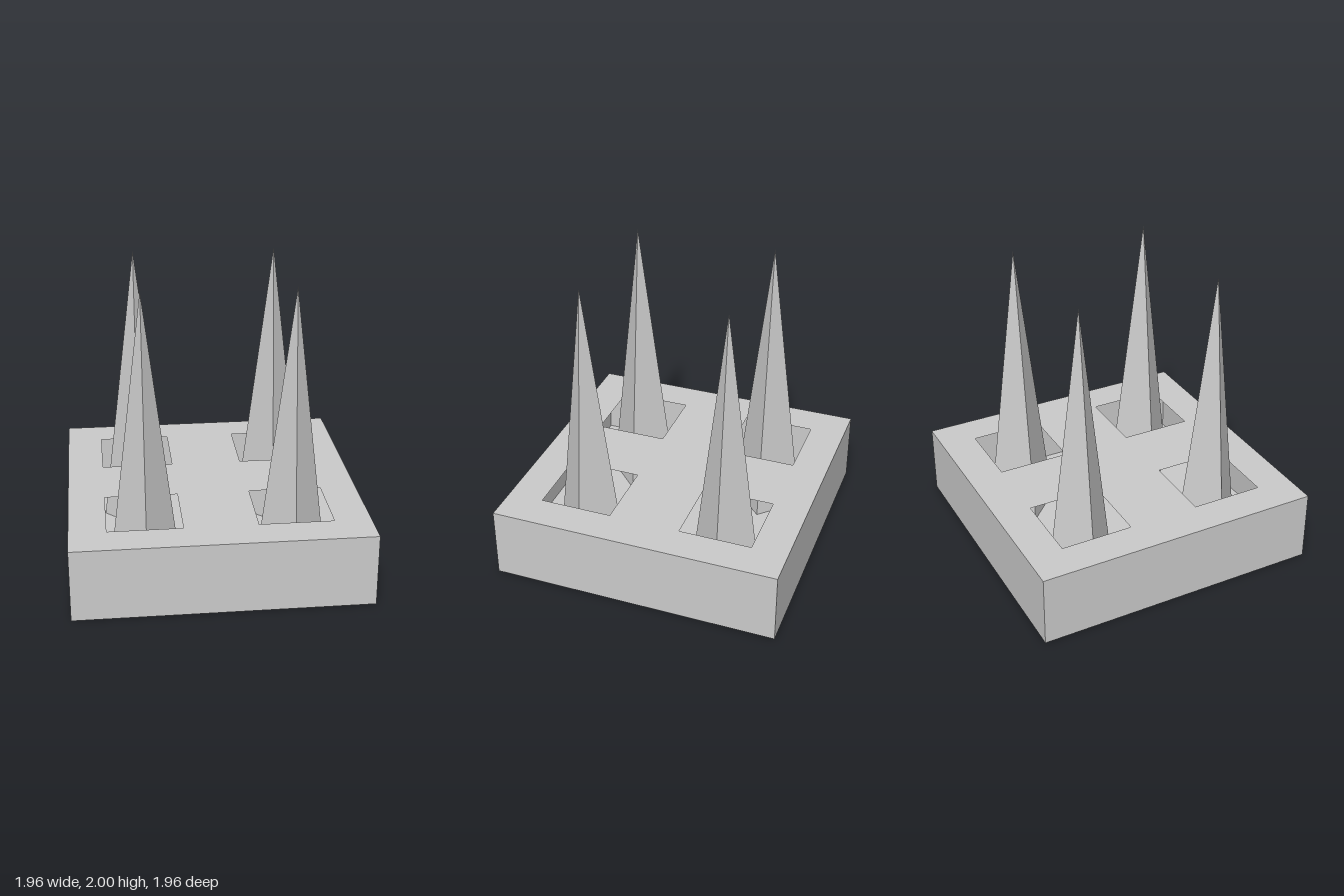
import * as THREE from 'three';

const HALF = 0.98, TOP = 0.49, HOLE = 0.246, PITCH = 0.49;

export function createModel() {
  const group = new THREE.Group();
  const material = new THREE.MeshStandardMaterial({
    color: 0xcccccc, flatShading: true, side: THREE.DoubleSide,
  });
  const add = (name, geometry, x = 0, y = 0, z = 0) => {
    const mesh = new THREE.Mesh(geometry, material);
    mesh.name = name;
    mesh.position.set(x, y, z);
    group.add(mesh);
  };
  const square = (Type, x, z, h) => new Type([
    new THREE.Vector2(x - h, z - h), new THREE.Vector2(x + h, z - h),
    new THREE.Vector2(x + h, z + h), new THREE.Vector2(x - h, z + h),
  ]);

  // Hollow base: four thin walls and a floor
  const r = HALF * Math.SQRT2;
  add('baseWalls', new THREE.CylinderGeometry(r, r, TOP, 4, 1, true).rotateY(Math.PI / 4), 0, TOP / 2);
  add('baseFloor', new THREE.PlaneGeometry(2 * HALF, 2 * HALF).rotateX(Math.PI / 2));

  // Top sheet with four square openings
  const plate = square(THREE.Shape, 0, 0, HALF);
  for (const x of [-PITCH, PITCH]) {
    for (const z of [-PITCH, PITCH]) plate.holes.push(square(THREE.Path, x, z, HOLE));
  }
  add('topSheet', new THREE.ShapeGeometry(plate).rotateX(-Math.PI / 2), 0, TOP);

  // Four-sided spikes rising from the floor, tips leaning slightly forward
  const spike = new THREE.ConeGeometry(0.246, 2, 4, 1, true);
  const p = spike.attributes.position;
  for (let i = 0; i < p.count; i++) {
    if (p.getY(i) > 0) p.setZ(i, p.getZ(i) + 0.017);
  }
  for (const x of [-0.48, 0.496]) {
    for (const z of [-0.491, 0.486]) add('spike', spike, x, 1, z);
  }
  return group;
}
